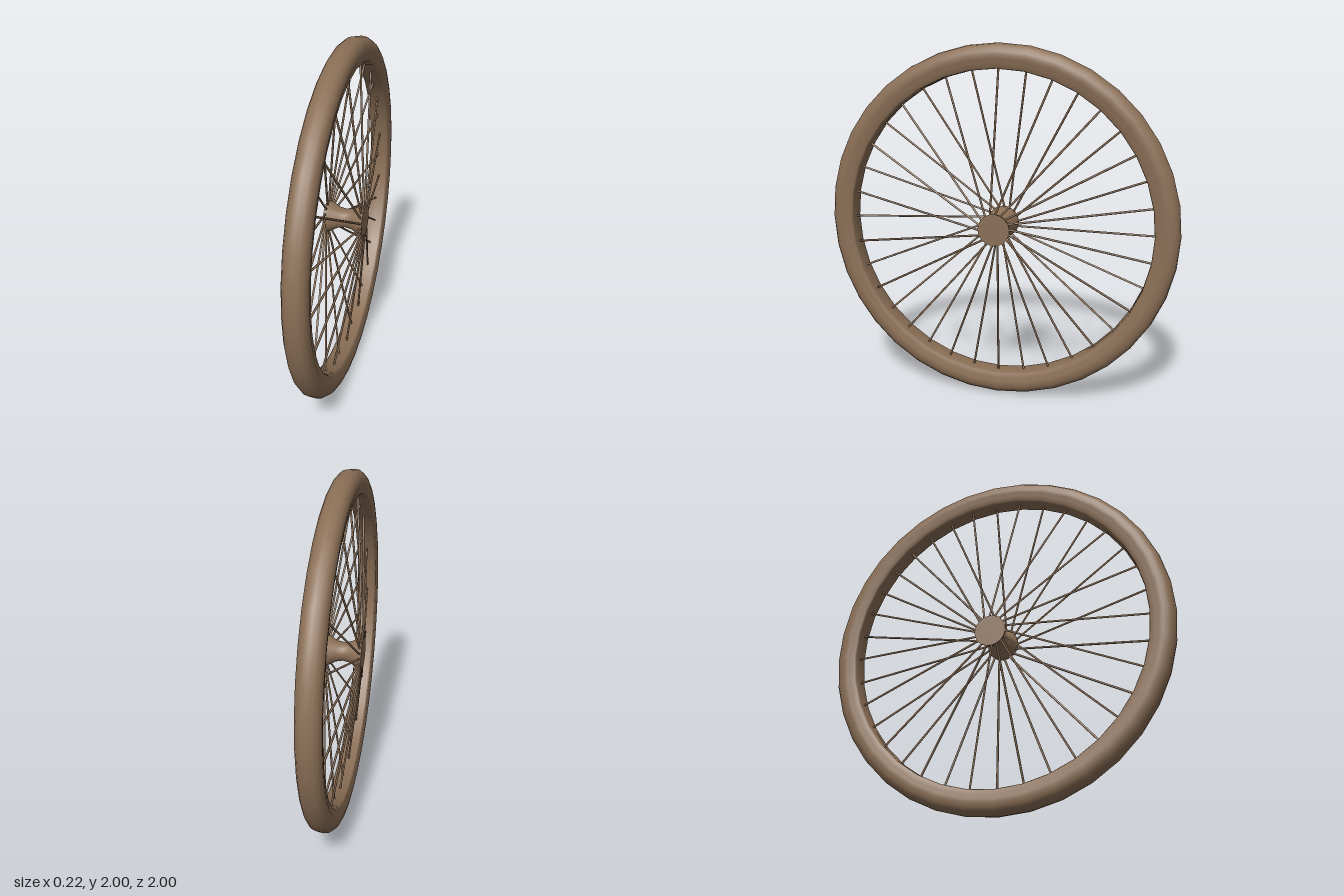
import * as THREE from 'three';

const SEGMENTS = 36;
const SPOKES = 36;

// Lathe a list of [x, radius] points around the wheel's x axis
function latheX(profile, segments) {
  const points = profile.map(([x, r]) => new THREE.Vector2(r, x));
  return new THREE.LatheGeometry(points, segments).rotateZ(-Math.PI / 2);
}

// Point at a given side offset, radius and angle on the wheel
function wheelPoint(x, radius, degrees) {
  const a = THREE.MathUtils.degToRad(degrees);
  return new THREE.Vector3(x, radius * Math.sin(a), -radius * Math.cos(a));
}

// Thin rod between two points
function rod(from, to, radius, material) {
  const dir = to.clone().sub(from);
  const mesh = new THREE.Mesh(new THREE.CylinderGeometry(radius, radius, dir.length(), 6), material);
  mesh.position.copy(from).add(to).multiplyScalar(0.5);
  mesh.quaternion.setFromUnitVectors(new THREE.Vector3(0, 1, 0), dir.normalize());
  return mesh;
}

export function createModel() {
  const brown = new THREE.MeshStandardMaterial({ color: 0x8b6f56 });
  brown.name = 'brown';

  const wheel = new THREE.Group();
  wheel.name = 'wheel';
  wheel.position.y = 1;

  // Rim and tyre: half profile from the inner face out to the tread, mirrored
  const half = [
    [0, 0.865], [0.045, 0.866], [0.056, 0.874], [0.058, 0.9], [0.064, 0.918],
    [0.065, 0.938], [0.061, 0.96], [0.05, 0.98], [0.03, 0.995], [0, 1],
  ];
  const section = [
    ...half.map(([x, r]) => [-x, r]),
    ...half.slice(0, -1).reverse(),
  ];
  const tyre = new THREE.Mesh(latheX(section, SEGMENTS), brown);
  tyre.name = 'tyre';
  wheel.add(tyre);

  // Spool-shaped hub with a narrow waist
  const hub = new THREE.Group();
  hub.name = 'hub';
  const barrel = new THREE.Mesh(latheX([
    [-0.11, 0.09], [-0.085, 0.085], [-0.04, 0.06], [0, 0.052],
    [0.04, 0.06], [0.085, 0.085], [0.11, 0.09],
  ], 24), brown);
  barrel.name = 'hubBarrel';
  hub.add(barrel);
  for (const side of [-1, 1]) {
    const cap = new THREE.Mesh(new THREE.CircleGeometry(0.09, 24), brown);
    cap.name = 'hubCap';
    cap.rotation.y = side * Math.PI / 2;
    cap.position.x = side * 0.11;
    hub.add(cap);
  }
  wheel.add(hub);

  // Spokes alternate between the two hub ends and lean opposite ways
  const spokes = new THREE.Group();
  spokes.name = 'spokes';
  for (let i = 0; i < SPOKES; i++) {
    const side = i % 2 ? 1 : -1;
    const angle = (i * 360) / SPOKES;
    const spoke = rod(
      wheelPoint(side * 0.1, 0.084, angle + side * 15),
      wheelPoint(side * 0.004, 0.872, angle),
      0.006, brown);
    spoke.name = 'spoke';
    spokes.add(spoke);
  }
  wheel.add(spokes);

  const model = new THREE.Group();
  model.name = 'spokedWheel';
  model.add(wheel);
  return model;
}
